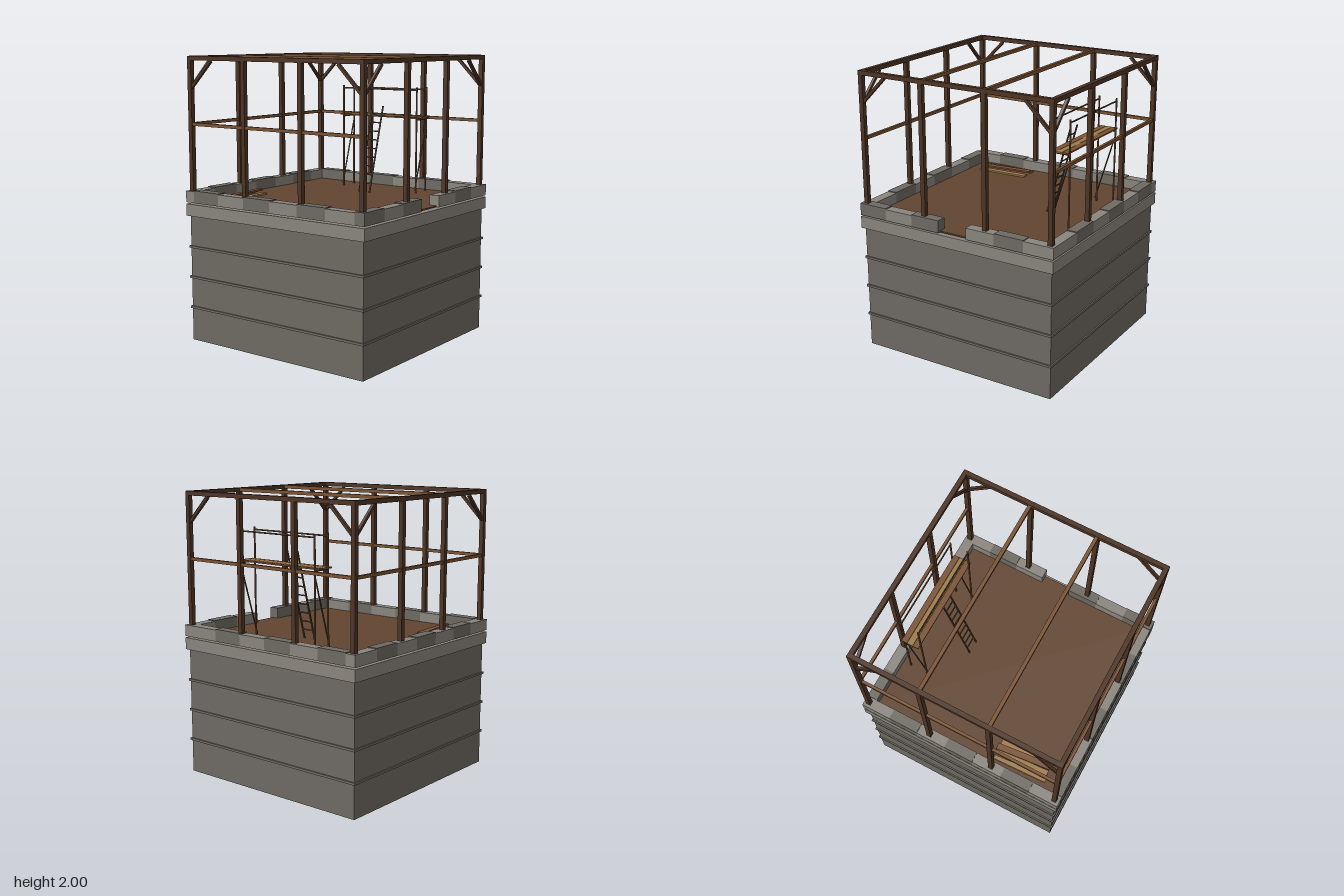
import * as THREE from 'three';

const paint = (color) => new THREE.MeshStandardMaterial({ color, flatShading: true });

export function createModel() {
  const stone = paint(0x6e6a63), paleStone = paint(0x8a857e);
  const timber = paint(0x4d3424), railWood = paint(0x7a5232);
  const floorWood = paint(0x614530), plankWood = paint(0x9c7a4c), poleWood = paint(0x59422a);
  const model = new THREE.Group();
  model.name = 'unfinishedTower';

  const group = (name) => {
    const g = new THREE.Group();
    g.name = name;
    model.add(g);
    return g;
  };
  const box = (parent, name, mat, w, h, d, x, y, z) => {
    const m = new THREE.Mesh(new THREE.BoxGeometry(w, h, d), mat);
    m.name = name;
    m.position.set(x, y, z);
    parent.add(m);
    return m;
  };
  // Square or round bar running between two points
  const bar = (parent, name, mat, a, b, size, round = false) => {
    const p = new THREE.Vector3(...a), q = new THREE.Vector3(...b);
    const len = p.distanceTo(q);
    const geo = round
      ? new THREE.CylinderGeometry(size / 2, size / 2, len, 8)
      : new THREE.BoxGeometry(size, len, size);
    const m = new THREE.Mesh(geo, mat);
    m.name = name;
    m.position.copy(p).lerp(q, 0.5);
    m.quaternion.setFromUnitVectors(new THREE.Vector3(0, 1, 0), q.sub(p).normalize());
    parent.add(m);
    return m;
  };

  // Stone base with string courses and a projecting cap
  const base = group('stoneBase');
  box(base, 'wallBlock', stone, 1.48, 0.9, 1.48, 0, 0.45, 0);
  for (const y of [0.24, 0.458, 0.675]) box(base, 'stringCourse', stone, 1.5, 0.016, 1.5, 0, y, 0);
  box(base, 'capCourse', paleStone, 1.52, 0.084, 1.52, 0, 0.938, 0);
  box(model, 'floorDeck', floorWood, 1.48, 0.01, 1.48, 0, 0.995, 0);

  // Parapet stones in alternating tones, with a doorway gap at the front
  const parapet = group('parapet');
  const addStone = (pale, w, d, x, z) => {
    const h = pale ? 0.08 : 0.086;
    box(parapet, 'parapetStone', pale ? paleStone : stone, w, h, d, x, 0.991 + h / 2, z);
  };
  const step = 1.52 / 7;
  for (let i = 0; i < 7; i++) {
    const x = (i - 3) * step;
    addStone(i % 2 === 0, step, 0.074, x, -0.723);
    if (i !== 3) addStone(i < 3 ? i % 2 === 1 : i % 2 === 0, step, 0.074, x, 0.723);
  }
  const sideStep = 1.372 / 6;
  for (let i = 0; i < 6; i++) {
    for (const s of [-1, 1]) addStone(i % 2 === 1, 0.074, sideStep, s * 0.723, (i - 2.5) * sideStep);
  }

  // Timber frame: posts, top plates, rafters, mid rails, knee braces
  const frame = group('timberFrame');
  const R = 0.724, T = 0.032;
  const post = (x, z) => box(frame, 'post', timber, T, 0.99, T, x, 1.495, z);
  for (const s of [-1, 1]) {
    for (const t of [-1, 1]) {
      post(s * R, t * R);
      post(s * 0.24, t * R);
      post(t * R, s * 0.24);
      bar(frame, 'kneeBrace', timber, [s * 0.717, 1.785, t * R], [s * 0.535, 1.967, t * R], 0.02);
      bar(frame, 'kneeBrace', timber, [s * R, 1.785, t * 0.717], [s * R, 1.967, t * 0.535], 0.02);
    }
    box(frame, 'topPlate', timber, 2 * R + T, 0.03, T, 0, 1.985, s * R);
    box(frame, 'topPlate', timber, T, 0.03, 2 * R - T, s * R, 1.985, 0);
    box(frame, 'rafter', railWood, 0.025, 0.024, 2 * R - T, s * 0.24, 1.985, 0);
    box(frame, 'midRail', railWood, 0.02, 0.022, 2 * R - T, s * R, 1.535, 0);
  }
  box(frame, 'midRail', railWood, 2 * R - T, 0.022, 0.02, 0, 1.535, -R);

  // Scaffold beside the left wall
  const scaffold = group('scaffold');
  const xs = [0.497, 0.628], zEnd = 0.326;
  for (const z of [-zEnd, zEnd]) {
    for (const x of xs) bar(scaffold, 'scaffoldPole', railWood, [x, 1, z], [x, 1.765, z], 0.013, true);
    bar(scaffold, 'crossBar', poleWood, [xs[0], 1.532, z], [xs[1], 1.532, z], 0.012, true);
    bar(scaffold, 'diagonalBrace', poleWood, [0.485, 1.02, z], [0.628, 1.5, z], 0.01, true);
  }
  for (const x of xs) bar(scaffold, 'guardRail', poleWood, [x, 1.745, -zEnd], [x, 1.745, zEnd], 0.011, true);
  for (let i = 0; i < 3; i++) {
    box(scaffold, 'walkPlank', i === 1 ? plankWood : railWood, 0.041, 0.01, 0.71,
      0.519 + i * 0.043, 1.544, -0.003);
  }

  // Leaning ladder
  const ladder = group('ladder');
  const foot = [0.308, 1], top = [0.478, 1.622];
  for (const z of [-0.046, 0.046]) {
    bar(ladder, 'ladderRail', poleWood, [...foot, z], [...top, z], 0.013, true);
  }
  for (let i = 0; i < 9; i++) {
    const y = 1.064 + i * 0.0625;
    const x = foot[0] + (top[0] - foot[0]) * (y - foot[1]) / (top[1] - foot[1]);
    bar(ladder, 'ladderRung', poleWood, [x, y, -0.046], [x, y, 0.046], 0.01, true);
  }

  // Loose planks piled on the floor near the back: x, y, z, turn
  const pile = group('plankPile');
  [[-0.41, 1.006, -0.622, 0.04], [-0.4, 1.018, -0.59, 0.07],
    [-0.395, 1.03, -0.547, 0.1], [-0.405, 1.006, -0.512, 0.04]].forEach(([x, y, z, turn], i) => {
    box(pile, 'loosePlank', i === 2 ? railWood : plankWood, 0.39, 0.012, 0.045, x, y, z).rotation.y = turn;
  });

  return model;
}
